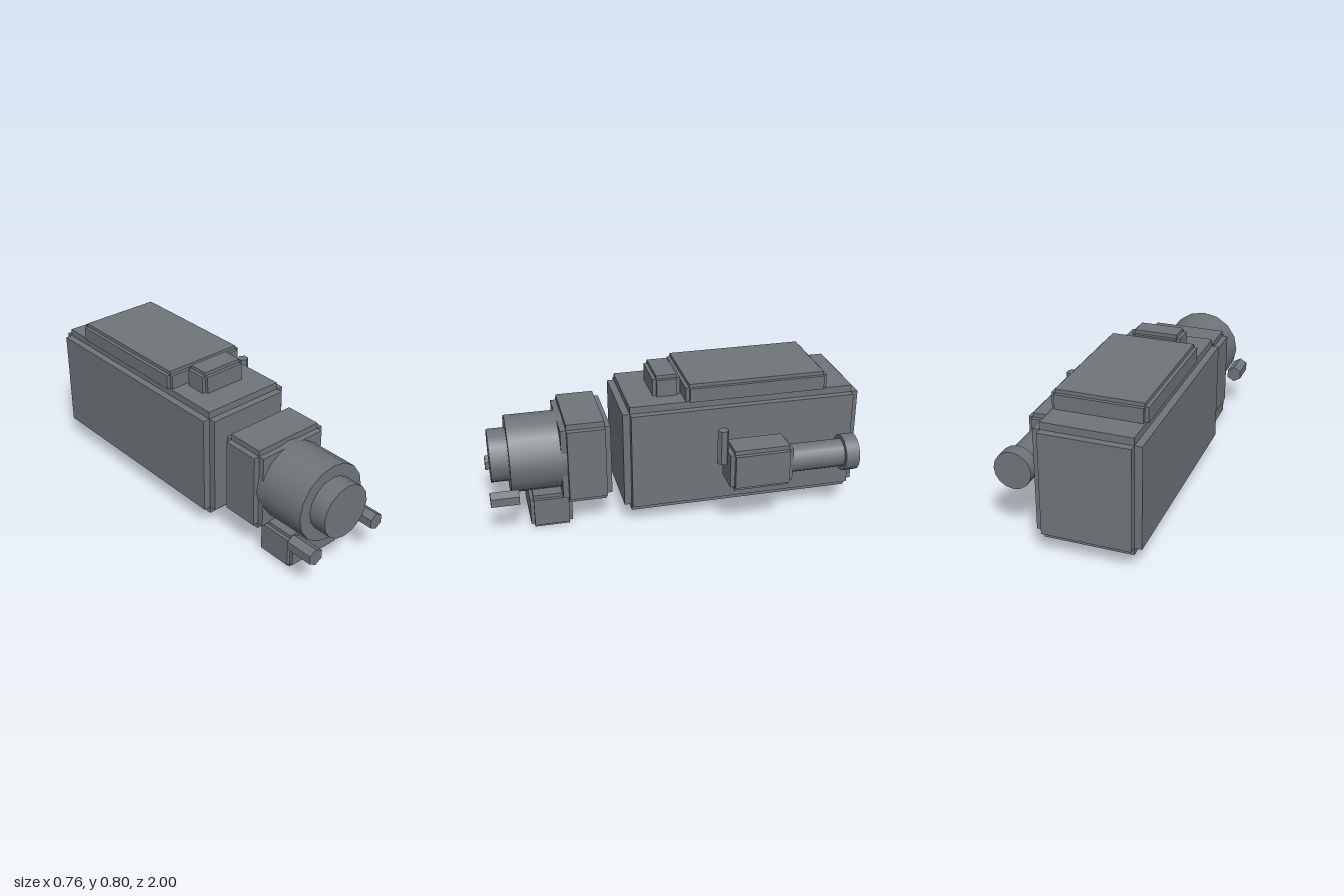
import * as THREE from 'three';

const paint = 0x70757a;
const smooth = new THREE.MeshStandardMaterial({ color: paint });
const faceted = new THREE.MeshStandardMaterial({ color: paint, flatShading: true });

// Block with notched edges: three boxes, each reaching full size along one axis only.
function notchedBlock(name, [x0, x1], [y0, y1], [z0, z1], inset) {
  const group = new THREE.Group();
  group.name = name;
  const size = [x1 - x0, y1 - y0, z1 - z0];
  for (let axis = 0; axis < 3; axis++) {
    const dims = size.map((s, i) => (i === axis ? s : s - 2 * inset));
    const slab = new THREE.Mesh(new THREE.BoxGeometry(...dims), faceted);
    slab.name = name + 'Slab';
    group.add(slab);
  }
  group.position.set((x0 + x1) / 2, (y0 + y1) / 2, (z0 + z1) / 2);
  return group;
}

// Cylinder or prism lying along z between z0 and z1.
function rod(name, x, y, z0, z1, radius, sides = 16) {
  const geometry = new THREE.CylinderGeometry(radius, radius, z1 - z0, sides);
  geometry.rotateX(Math.PI / 2);
  const mesh = new THREE.Mesh(geometry, sides > 6 ? smooth : faceted);
  mesh.name = name;
  mesh.position.set(x, y, (z0 + z1) / 2);
  return mesh;
}

export function createModel() {
  const model = new THREE.Group();
  model.name = 'camera';
  const cx = -0.117;

  // Main housing with its top cover and small top block
  model.add(notchedBlock('housing', [-0.383, 0.149], [0.077, 0.688], [-1, 0.294], 0.038));
  model.add(notchedBlock('topCover', [-0.356, 0.123], [0.668, 0.782], [-0.818, -0.043], 0.019));
  model.add(notchedBlock('topBlock', [-0.25, 0.015], [0.668, 0.8], [-0.038, 0.11], 0.019));

  // Front block and lens
  model.add(notchedBlock('lensMount', [-0.344, 0.11], [0.153, 0.61], [0.353, 0.617], 0.031));
  model.add(rod('lensBarrel', cx, 0.381, 0.5, 0.885, 0.209));
  model.add(rod('lensFront', cx, 0.381, 0.8, 0.982, 0.144));

  // Foot below the lens
  model.add(notchedBlock('foot', [-0.288, 0.054], [0, 0.19], [0.567, 0.792], 0.019));

  // Hexagonal rods on both sides of the lens
  for (const side of [-1, 1]) {
    model.add(rod('hexRod', cx + side * 0.21, 0.229, 0.85, 1, 0.045, 6));
  }

  // Viewfinder on the left: body, tube, eyepiece and upright lever
  const vx = 0.283;
  model.add(notchedBlock('viewfinderBody', [0.188, 0.378], [0.268, 0.496], [-0.56, -0.22], 0.023));
  model.add(rod('viewfinderTube', vx, 0.382, -0.9, -0.52, 0.075));
  model.add(rod('eyepiece', vx, 0.382, -0.925, -0.85, 0.098));
  const lever = new THREE.Mesh(new THREE.CylinderGeometry(0.03, 0.03, 0.19, 6), faceted);
  lever.name = 'lever';
  lever.position.set(vx, 0.496, -0.198);
  model.add(lever);

  return model;
}
